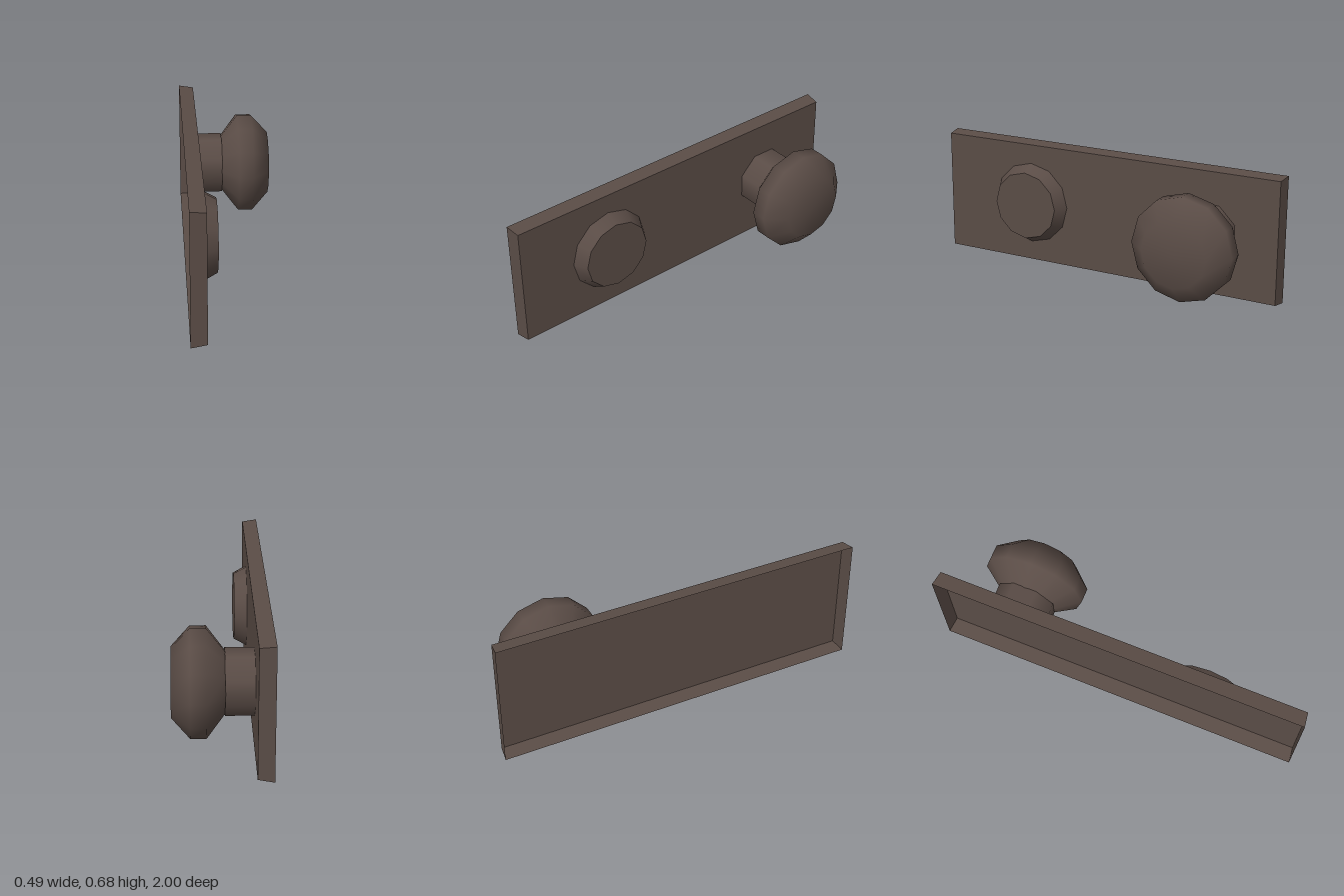
import * as THREE from 'three';

const CENTER_Y = 0.34;

export function createModel() {
  const group = new THREE.Group();
  const darkBrown = new THREE.MeshStandardMaterial({ color: 0x5a4c46, side: THREE.DoubleSide });
  darkBrown.name = 'darkBrown';

  function add(name, geometry, x, z) {
    const mesh = new THREE.Mesh(geometry, darkBrown);
    mesh.name = name;
    mesh.position.set(x, CENTER_Y, z);
    group.add(mesh);
  }

  // Cylinder laid along +x, from its base at x = 0
  function barrel(frontRadius, baseRadius, length, sides, turn = 0) {
    return new THREE.CylinderGeometry(frontRadius, baseRadius, length, sides)
      .rotateY(turn)
      .translate(0, length / 2, 0)
      .rotateZ(-Math.PI / 2);
  }

  // Backplate: tapered shell, hollow and open at the back
  const plate = new THREE.BoxGeometry(0.081, 0.68, 2);
  const p = plate.attributes.position;
  for (let i = 0; i < p.count; i++) {
    if (p.getX(i) > 0) {
      p.setY(i, p.getY(i) - 0.01 * Math.sign(p.getY(i)));
      p.setZ(i, p.getZ(i) - 0.01 * Math.sign(p.getZ(i)));
    }
  }
  const index = Array.from(plate.index.array);
  index.splice(6, 6); // remove the back face
  plate.setIndex(index);
  plate.clearGroups();
  plate.computeVertexNormals();
  add('backplate', plate, -0.2025, 0);

  // Raised lock boss
  add('lockBoss', barrel(0.187, 0.225, 0.069, 12), -0.162, 0.46);

  // Eight-sided stem with flats facing up and sideways
  add('knobStem', barrel(0.166, 0.166, 0.145, 8, Math.PI / 8), -0.162, -0.6);

  // Twelve-sided knob, smoothly shaded over its profile
  const profile = [
    [0.153, -0.021], [0.276, 0.072], [0.276, 0.151], [0.176, 0.242], [0, 0.242],
  ].map(([r, h]) => new THREE.Vector2(r, h));
  add('knob', new THREE.LatheGeometry(profile, 12).rotateZ(-Math.PI / 2), 0, -0.6);

  return group;
}
